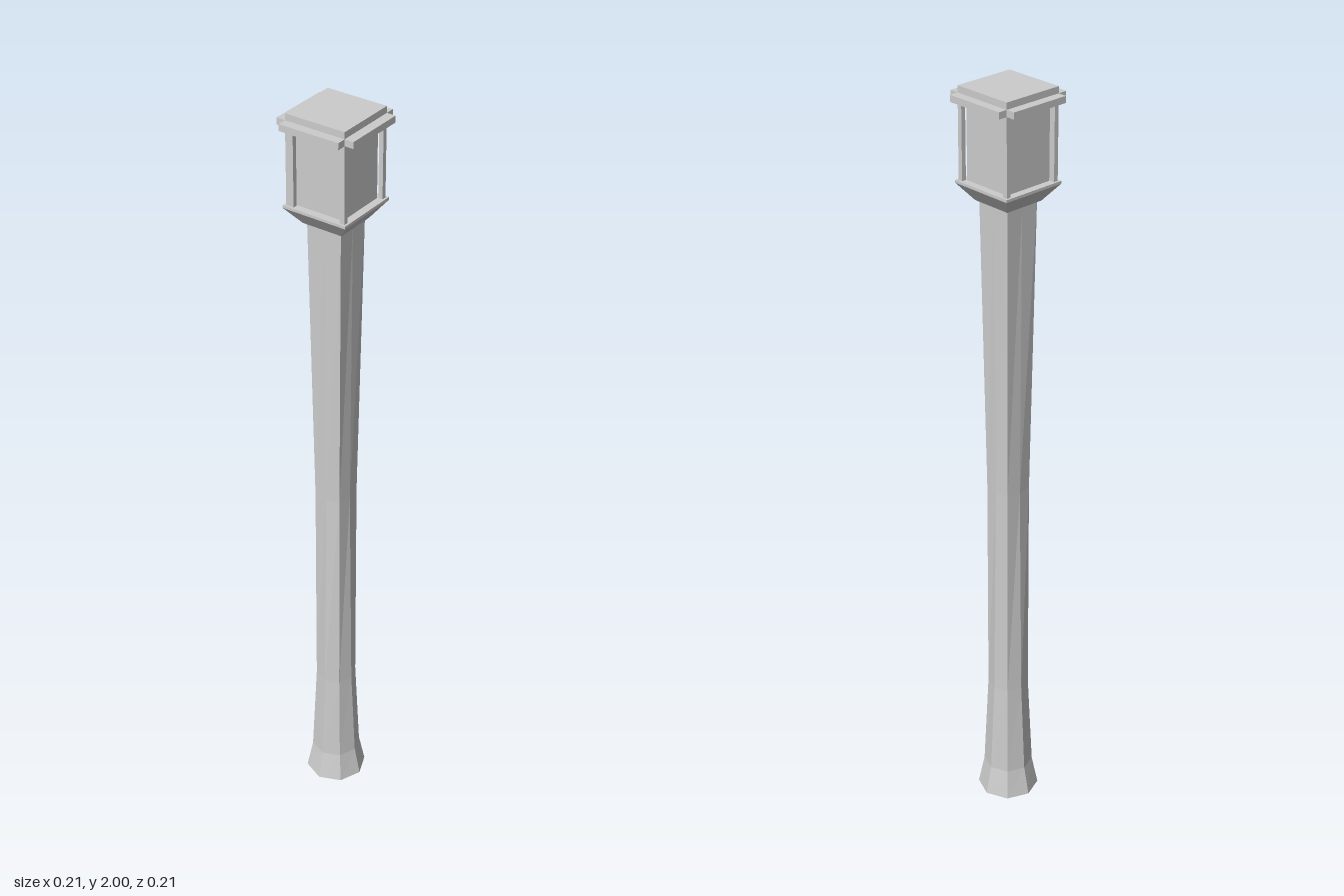
import * as THREE from 'three';

export function createModel() {
  const model = new THREE.Group();
  const mat = new THREE.MeshStandardMaterial({ color: 0xcccccc, flatShading: true });

  const add = (name, geometry, x = 0, y = 0, z = 0) => {
    const mesh = new THREE.Mesh(geometry, mat);
    mesh.name = name;
    mesh.position.set(x, y, z);
    model.add(mesh);
    return mesh;
  };
  const box = (name, w, y0, y1, d, x = 0, z = 0) =>
    add(name, new THREE.BoxGeometry(w, y1 - y0, d), x, (y0 + y1) / 2, z);

  // Post: a flared octagon at the foot turning into a square at the top.
  // Each ring: height, radius of the edges on the axes, radius of the diagonal edges
  const rings = [
    [0, 0.081, 0.081],
    [0.08, 0.064, 0.065],
    [0.34, 0.051, 0.053],
    [0.94, 0.043, 0.053],
    [1.72, 0.048, 0.068],
  ];
  const post = new THREE.CylinderGeometry(1, 1, 1, 8, rings.length - 1);
  const p = post.attributes.position;
  for (let i = 0; i < p.count; i++) {
    const [y, axisR, diagR] = rings[Math.round((p.getY(i) + 0.5) * (rings.length - 1))];
    const onAxis = Math.abs(p.getX(i) * p.getZ(i)) < 0.1;
    const r = onAxis ? axisR : diagR;
    p.setXYZ(i, p.getX(i) * r, y, p.getZ(i) * r);
  }
  post.computeVertexNormals();
  add('post', post);

  // Flared square collar under the head, with a thin rim
  const collar = (name, top, bottom, y0, y1) => add(name,
    new THREE.CylinderGeometry(top * Math.SQRT2, bottom * Math.SQRT2, y1 - y0, 4, 1, false, Math.PI / 4),
    0, (y0 + y1) / 2, 0);
  collar('collar', 0.088, 0.055, 1.72, 1.763);
  collar('collarRim', 0.088, 0.088, 1.763, 1.77);

  // Head: recessed core, corner posts and cap
  const half = 0.082;
  box('headPanels', 0.136, 1.765, 1.97, 0.136);
  for (const sx of [-1, 1]) {
    for (const sz of [-1, 1]) {
      const w = sx < 0 && sz > 0 ? 0.021 : 0.012;
      box('cornerPost', w, 1.765, 1.97, 0.012, sx * (half - w / 2), sz * (half - 0.006));
    }
  }
  box('cap', half * 2, 1.955, 2, half * 2);

  // Eave strips on the four sides of the cap
  const reach = 0.106 - half;
  for (const s of [-1, 1]) {
    box('eaveSide', reach, 1.966, 1.983, half * 2, s * (half + reach / 2), 0);
    box('eaveFrontBack', half * 2, 1.966, 1.983, reach, 0, s * (half + reach / 2));
  }
  return model;
}
